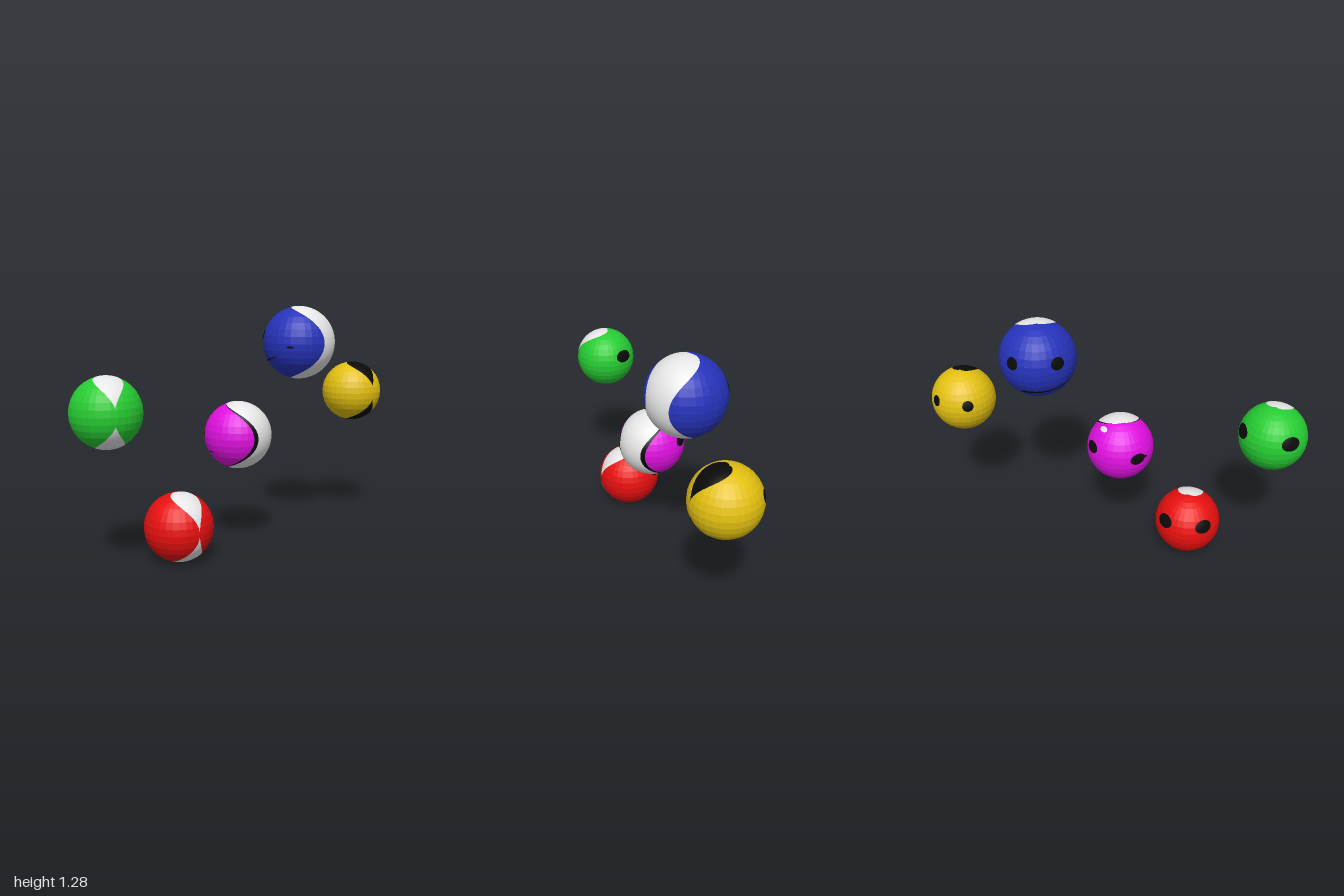
import * as THREE from 'three';

const RAD = Math.PI / 180;

function mat(name, color) {
  const m = new THREE.MeshStandardMaterial({ color, flatShading: true });
  m.name = name;
  return m;
}

// Unit-sphere point: longitude runs from -x (the face) towards +z, both in degrees
function onSphere(lon, lat, r) {
  const c = Math.cos(lat * RAD) * r;
  return [-c * Math.cos(lon * RAD), Math.sin(lat * RAD) * r, c * Math.sin(lon * RAD)];
}

// Thin painted patch: f(u, v) gives [longitude, latitude] over a regular grid
function patch(name, material, r, nu, nv, f) {
  const pos = [], idx = [];
  for (let j = 0; j <= nv; j++) {
    for (let i = 0; i <= nu; i++) pos.push(...onSphere(...f(i / nu, j / nv), r));
  }
  for (let j = 0; j < nv; j++) {
    for (let i = 0; i < nu; i++) {
      const a = j * (nu + 1) + i, b = a + nu + 1;
      idx.push(a, a + 1, b, a + 1, b + 1, b);
    }
  }
  const g = new THREE.BufferGeometry();
  g.setAttribute('position', new THREE.Float32BufferAttribute(pos, 3));
  g.setIndex(idx);
  g.computeVertexNormals();
  const mesh = new THREE.Mesh(g, material);
  mesh.name = name;
  return mesh;
}

// Rear area: everything outside an ellipse of half-axes a, b around the face
function rearPatch(name, material, r, turn, a, b) {
  return patch(name, material, r, 24, 90, (u, v) => {
    const lat = -90 + 180 * v;
    const inside = Math.max(0, 1 - (lat / b) ** 2);
    const half = Math.max(0, 180 - a * Math.sqrt(inside));
    return [180 + turn + (2 * u - 1) * half, lat];
  });
}

// Oval spot, used for eyes, glints and short marks
function spot(name, material, r, [lon, lat, w, h]) {
  return patch(name, material, r, 24, 4, (u, v) => {
    const t = u * 2 * Math.PI, k = 1 - v;
    return [lon + k * w * Math.cos(t), lat + k * h * Math.sin(t)];
  });
}

export function createModel() {
  const white = mat('white', 0xe6e6e6);
  const black = mat('black', 0x0a0a0a);
  const red = mat('red', 0xee1010);
  const green = mat('green', 0x26cc32);
  const blue = mat('blue', 0x2633bb);
  const magenta = mat('magenta', 0xe010e0);
  const yellow = mat('yellow', 0xe2bf10);

  // Eyes and marks are [longitude, latitude, half-width, half-height]
  const balls = [
    { name: 'greenBall', body: green, rear: white, r: 0.17, y: 0.797, z: 0.83,
      turn: -15, a: 182.5, b: 85, eyes: [[34, 17, 17, 12], [-66, 16, 18, 12]] },
    { name: 'redBall', body: red, rear: white, r: 0.177, y: 0.178, z: 0.437,
      turn: 0, a: 180, b: 86, eyes: [[40, 22, 17, 12], [-40, 22, 17, 12]] },
    { name: 'magentaBall', body: magenta, rear: white, r: 0.177, y: 0.605, z: 0.052,
      turn: 23, a: 154, b: 73, outline: 146,
      eyes: [[45, 5, 14, 10], [-46, 16, 15, 10]],
      marks: [[60, 5, 5, 2], [81, -25, 5, 1.5]],
      glints: [[-41, 53, 14, 5]] },
    { name: 'blueBall', body: blue, rear: white, r: 0.199, y: 1.075, z: -0.385,
      turn: 22, a: 158, b: 81, smile: true,
      eyes: [[50, 13, 11, 9.5], [-21, 13, 10, 9.5]],
      marks: [[123, -5, 6, 1.5]] },
    { name: 'yellowBall', body: yellow, rear: black, r: 0.172, y: 0.773, z: -0.828,
      turn: 0, a: 182, b: 87, eyes: [[32, 12, 10, 10], [-33, 14.5, 10, 10]] },
  ];

  const model = new THREE.Group();
  model.name = 'balls';
  for (const d of balls) {
    const ball = new THREE.Group();
    ball.name = d.name;
    const body = new THREE.Mesh(new THREE.SphereGeometry(1, 32, 16), d.body);
    body.name = 'body';
    ball.add(body);

    // Contrasting rear area, with a dark rim where there is one
    if (d.outline) ball.add(rearPatch('rearRim', black, 1.003, d.turn, d.outline, d.b));
    ball.add(rearPatch('rear', d.rear, 1.006, d.turn, d.a, d.b));

    // Face
    for (const e of d.eyes) ball.add(spot('eye', black, 1.004, e));
    for (const m of d.marks ?? []) ball.add(spot('faceMark', black, 1.004, m));
    for (const g of d.glints ?? []) ball.add(spot('glint', white, 1.004, g));
    if (d.smile) {
      ball.add(patch('smile', black, 1.004, 40, 2, (u, v) => {
        const lon = -12 + 109 * u;
        const half = 3 - 2.4 * u;
        return [lon, -35 + 15 * (lon / 97) ** 2 + (2 * v - 1) * half];
      }));
    }

    ball.scale.setScalar(d.r);
    ball.position.set(0, d.y, d.z);
    model.add(ball);
  }
  return model;
}
